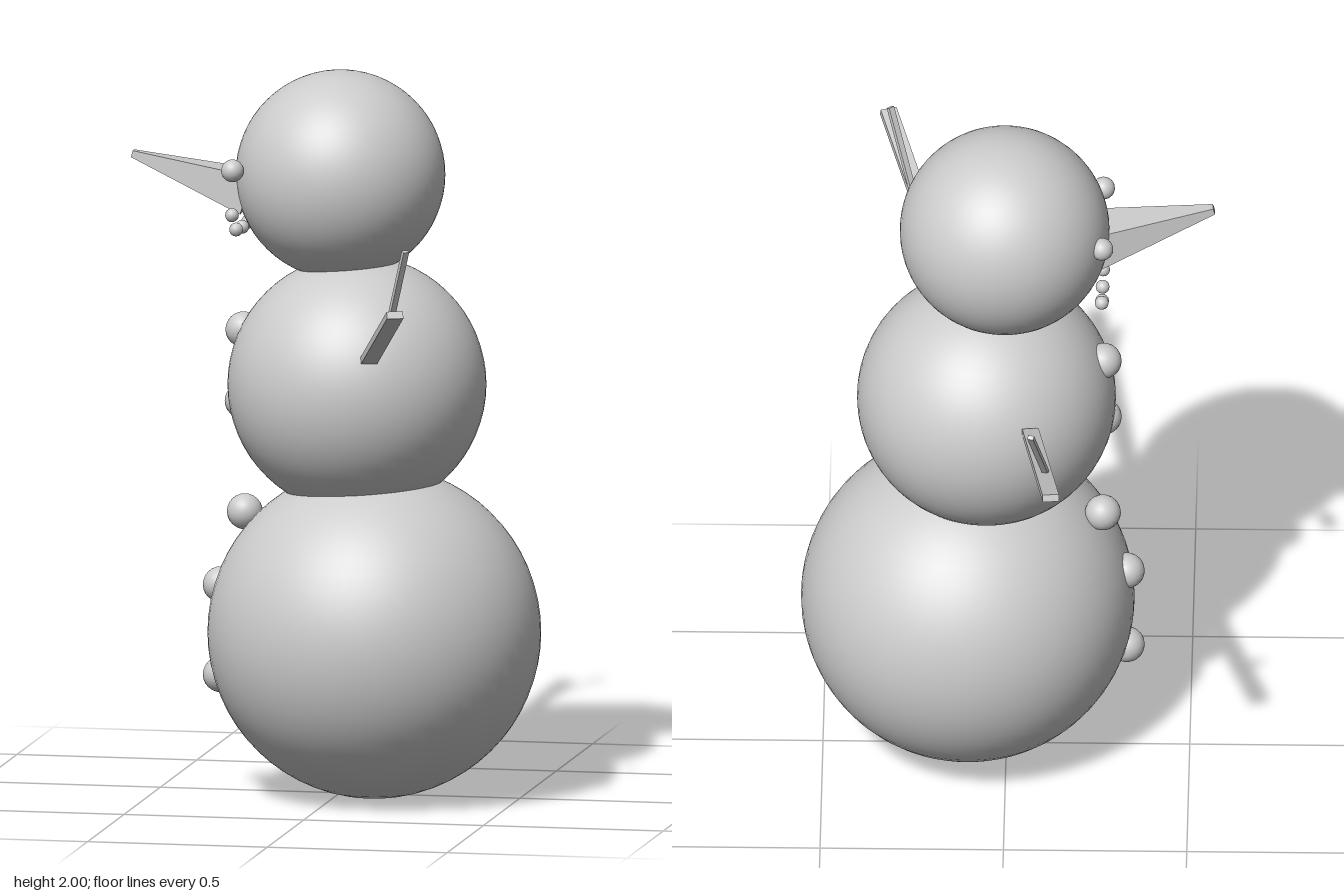
import * as THREE from 'three';

export function createModel() {
  const model = new THREE.Group();
  const grey = new THREE.MeshStandardMaterial({ color: 0xcccccc });

  const add = (name, geometry) => {
    const mesh = new THREE.Mesh(geometry, grey);
    mesh.name = name;
    model.add(mesh);
    return mesh;
  };

  const ball = (name, r, [x, y, z], detail = 24) =>
    add(name, new THREE.SphereGeometry(r, detail, detail / 2)).position.set(x, y, z);

  // Square stick between two points; taper scales the far end
  const stick = (name, from, to, width, height, taper = 1) => {
    const a = new THREE.Vector3(...from), b = new THREE.Vector3(...to);
    const geometry = new THREE.BoxGeometry(width, height, a.distanceTo(b));
    const p = geometry.attributes.position;
    for (let i = 0; i < p.count; i++) {
      if (p.getZ(i) > 0) p.setXY(i, p.getX(i) * taper, p.getY(i) * taper);
    }
    geometry.computeVertexNormals();
    const mesh = add(name, geometry);
    mesh.position.copy(a).add(b).multiplyScalar(0.5);
    mesh.lookAt(b);
  };

  // Three stacked snowballs
  ball('bottomSnowball', 0.455, [0.106, 0.457, 0.053], 64);
  ball('middleSnowball', 0.353, [0.055, 1.137, 0.04], 64);
  ball('head', 0.286, [0.005, 1.711, 0.02], 64);

  // Face, looking towards -x
  for (const z of [-0.1, 0.185]) ball('eye', 0.031, [-0.262, 1.737, z]);
  const mouth = [[1.62, -0.187], [1.582, -0.125], [1.564, -0.035], [1.562, 0.048], [1.567, 0.13], [1.615, 0.187]];
  for (const [y, z] of mouth) ball('mouthPebble', 0.019, [-0.263, y, z], 16);
  stick('nose', [-0.24, 1.66, 0.052], [-0.565, 1.758, 0.062], 0.14, 0.11, 0.17);

  // Buttons down the front
  const buttons = [[-0.265, 1.275, 0.02], [-0.265, 1.08, 0.03], [-0.263, 0.772, 0.01], [-0.328, 0.57, 0.02], [-0.328, 0.322, 0.02]];
  for (const at of buttons) ball('button', 0.049, at);

  // Twig arms, each with a small side twig
  stick('rightArm', [-0.07, 1.25, -0.28], [-0.136, 1.484, -0.91], 0.045, 0.02);
  stick('rightTwig', [-0.12, 1.4, -0.68], [-0.08, 1.64, -0.845], 0.017, 0.012);
  stick('leftArm', [0.152, 1.252, 0.355], [0.337, 1.466, 0.91], 0.045, 0.02);
  stick('leftTwig', [0.26, 1.365, 0.64], [0.328, 1.613, 0.722], 0.017, 0.012);

  return model;
}
